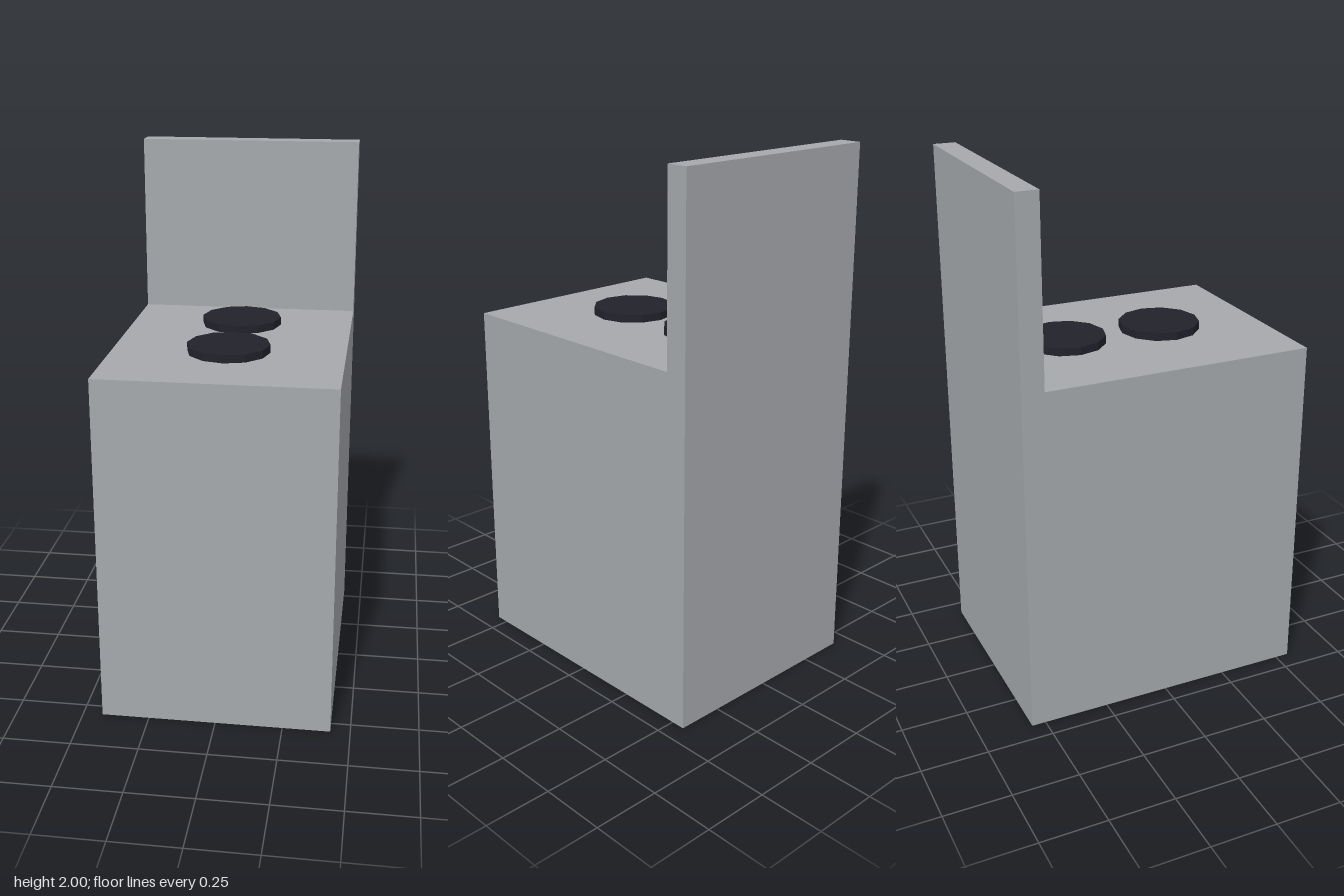
import * as THREE from 'three';

const steel = new THREE.MeshStandardMaterial({ color: 0xa6a9ad });
steel.name = 'steel grey';
const dark = new THREE.MeshStandardMaterial({ color: 0x22222c });
dark.name = 'burner black';

const WIDTH = 0.854, DEPTH = 1.106, TOP = 1.323, PANEL = 0.084, BURNER = 0.03;

export function createModel() {
  const stove = new THREE.Group();
  stove.name = 'stove';

  function add(name, geometry, material, y, z) {
    const mesh = new THREE.Mesh(geometry, material);
    mesh.name = name;
    mesh.position.set(0, y, z);
    stove.add(mesh);
  }

  // Cabinet
  add('cabinet', new THREE.BoxGeometry(WIDTH, TOP, DEPTH), steel, TOP / 2, 0);

  // Upright splash panel along the back edge
  const panelHeight = 2 - TOP;
  add('backPanel', new THREE.BoxGeometry(WIDTH, panelHeight, PANEL), steel,
    TOP + panelHeight / 2, -DEPTH / 2 + PANEL / 2);

  // Two twelve-sided burners, one behind the other
  const burner = new THREE.CylinderGeometry(0.153, 0.153, BURNER, 12).toNonIndexed();
  burner.computeVertexNormals();
  add('frontBurner', burner, dark, TOP + BURNER / 2, 0.164);
  add('backBurner', burner, dark, TOP + BURNER / 2, -0.222);

  return stove;
}
